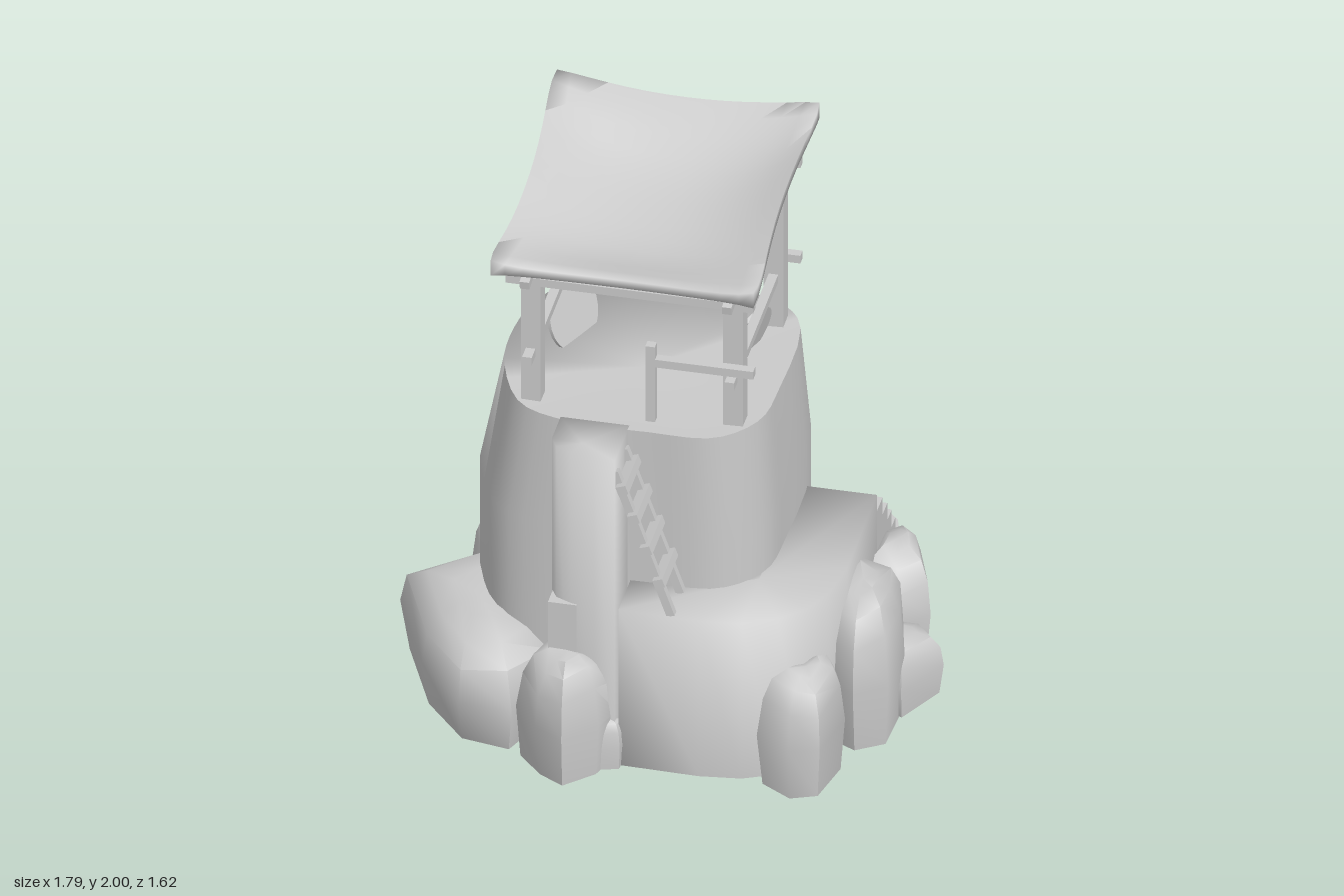
import * as THREE from 'three';
import { toCreasedNormals } from 'three/addons/utils/BufferGeometryUtils.js';

const grey = new THREE.MeshStandardMaterial({ color: 0xcccccc, side: THREE.DoubleSide });

function add(parent, name, geometry) {
  const mesh = new THREE.Mesh(geometry, grey);
  mesh.name = name;
  parent.add(mesh);
  return mesh;
}

// box given by its lower and upper limits
function block(parent, name, x0, x1, y0, y1, z0, z1) {
  const mesh = add(parent, name, new THREE.BoxGeometry(x1 - x0, y1 - y0, z1 - z0));
  mesh.position.set((x0 + x1) / 2, (y0 + y1) / 2, (z0 + z1) / 2);
  return mesh;
}

// orders an [x, z] outline the same way round
function orient(outline) {
  const v = outline.map(([x, z]) => new THREE.Vector2(x, z));
  return THREE.ShapeUtils.area(v) > 0 ? outline : [...outline].reverse();
}

function smoothLoop(outline, count) {
  const curve = new THREE.CatmullRomCurve3(outline.map(([x, z]) => new THREE.Vector3(x, 0, z)), true);
  return curve.getPoints(count).slice(0, count).map(p => [p.x, p.z]);
}

// shell through rings of [x, y, z] points, capped on top, open below unless closed
function loft(rings, topY, crease, closed = false) {
  const n = rings[0].length, pos = rings.flat(2), index = [];
  const cap = (ring, y, up) => {
    const c = pos.length / 3, start = rings.indexOf(ring) * n;
    pos.push(ring.reduce((s, p) => s + p[0], 0) / n, y, ring.reduce((s, p) => s + p[2], 0) / n);
    for (let j = 0; j < n; j++) {
      const a = start + j, b = start + (j + 1) % n;
      index.push(c, up ? b : a, up ? a : b);
    }
  };
  for (let i = 0; i < rings.length - 1; i++) {
    for (let j = 0; j < n; j++) {
      const a = i * n + j, b = i * n + (j + 1) % n;
      index.push(a, b + n, b, a, a + n, b + n);
    }
  }
  cap(rings[rings.length - 1], topY, true);
  if (closed) cap(rings[0], rings[0][0][1], false);
  const g = new THREE.BufferGeometry();
  g.setAttribute('position', new THREE.Float32BufferAttribute(pos, 3));
  g.setIndex(index);
  return toCreasedNormals(g, crease);
}

function prism(outline, y0, y1, crease, closed) {
  const o = orient(outline);
  return loft([y0, y1].map(y => o.map(([x, z]) => [x, y, z])), y1, crease, closed);
}

// boulder: angular plan swelling at mid height and tapering to a blunt top
function boulder(outline, y0, h, seed) {
  const o = orient(outline);
  const cx = o.reduce((s, p) => s + p[0], 0) / o.length;
  const cz = o.reduce((s, p) => s + p[1], 0) / o.length;
  const rings = [[0, 0.88], [0.45, 1], [0.75, 0.9], [0.92, 0.68], [0.99, 0.35]].map(([t, s], i) =>
    o.map(([x, z], j) => {
      const k = s * (i === 1 ? 1 : 1 + 0.04 * Math.sin(j * 2.1 + i * 1.3 + seed));
      return [cx + (x - cx) * k, y0 + h * (t + (i > 1 ? 0.03 * Math.sin(j * 1.9 + seed) : 0)), cz + (z - cz) * k];
    }));
  return loft(rings, y0 + h, 0.95);
}

function buildTower(model) {
  // main round tower, tapering above mid height except at the front, with a dished floor
  const plan = smoothLoop(orient([[-0.64, 0], [-0.6, -0.28], [-0.47, -0.48], [-0.08, -0.575], [0.25, -0.51],
    [0.365, -0.38], [0.39, 0.1], [0.365, 0.3], [0.24, 0.43], [0, 0.445], [-0.29, 0.44], [-0.5, 0.37], [-0.62, 0.15]]), 48);
  const ring = (y, t) => plan.map(([x, z]) => [
    x * (1 - t * (x < 0 ? 0.13 : 0.05)), y, z * (1 - t * (z < 0 ? 0.21 : 0))]);
  add(model, 'tower', loft([ring(0.02, 0), ring(0.8, 0), ring(1.22, 1)], 1.195, 1.45));

  // front buttress, its footing and the lower terrace
  add(model, 'buttress', prism([[-0.29, 0.42], [-0.29, 0.55], [-0.265, 0.595], [-0.21, 0.62], [-0.13, 0.635],
    [-0.06, 0.635], [-0.06, 0.42]], 0.02, 1.22, 1.7));
  block(model, 'footing', -0.285, -0.19, 0.02, 0.63, 0.55, 0.63);
  add(model, 'terrace', prism([[-0.05, 0.42], [-0.05, 0.625], [0.22, 0.632], [0.36, 0.615], [0.47, 0.565], [0.55, 0.485],
    [0.6, 0.38], [0.625, 0.22], [0.625, -0.22], [0.36, -0.22], [0.36, 0.24], [0.24, 0.4]], 0.02, 0.63, 1.7));
}

function buildStairs(model) {
  const stairs = new THREE.Group();
  stairs.name = 'stairs';
  model.add(stairs);
  const edges = [-0.22, -0.305, -0.375, -0.44, -0.495, -0.55];
  for (let i = 0; i < 5; i++) {
    block(stairs, 'step', 0.34, 0.625, 0.02, 0.565 - 0.068 * i, edges[i + 1], edges[i]);
  }
  add(stairs, 'landing', prism([[0.1, -0.54], [0.1, -0.815], [0.39, -0.815], [0.5, -0.78], [0.59, -0.69],
    [0.625, -0.55], [0.34, -0.44], [0.28, -0.48]], 0.02, 0.22, 0.65, true));
  block(stairs, 'lowerStep', 0.03, 0.1, 0.02, 0.153, -0.815, -0.56);
  block(stairs, 'lowerStep', -0.05, 0.03, 0.02, 0.087, -0.815, -0.565);
}

function buildBoulders(model) {
  const list = [
    [[[-0.9, 0.1], [-0.66, -0.09], [-0.5, 0], [-0.3, 0.44], [-0.4, 0.66], [-0.58, 0.65], [-0.75, 0.44]], 0.03, 0.38],
    [[[-0.39, 0.64], [-0.3, 0.75], [-0.2, 0.81], [-0.1, 0.7], [-0.06, 0.6], [-0.15, 0.45], [-0.33, 0.47]], 0.02, 0.43],
    [[[-0.73, -0.37], [-0.66, -0.44], [-0.53, -0.44], [-0.45, -0.3], [-0.52, -0.1], [-0.65, -0.1], [-0.73, -0.21]], 0.02, 0.35],
    [[[0.41, 0.61], [0.53, 0.68], [0.63, 0.65], [0.67, 0.45], [0.62, 0.34], [0.48, 0.4]], 0, 0.43],
    [[[0.55, 0.3], [0.68, 0.38], [0.78, 0.3], [0.79, 0.1], [0.74, -0.1], [0.58, -0.11], [0.5, 0.1]], 0, 0.54],
    [[[0.68, 0.1], [0.79, 0.15], [0.89, -0.04], [0.8, -0.14], [0.68, -0.12]], 0.01, 0.24],
    [[[0.58, -0.12], [0.72, -0.1], [0.81, -0.2], [0.75, -0.37], [0.66, -0.48], [0.58, -0.4]], 0.01, 0.42],
  ];
  list.forEach(([outline, y0, h], i) => add(model, 'boulder', boulder(outline, y0, h, i * 1.7)));
  // small stone at the foot of the buttress
  add(model, 'smallStone', boulder([[-0.13, 0.68], [-0.04, 0.65], [-0.03, 0.58], [-0.12, 0.58]], 0.02, 0.18, 3));
}

function buildLookout(model) {
  const frame = new THREE.Group();
  frame.name = 'lookoutFrame';
  model.add(frame);
  for (const x of [-0.408, 0.27]) {
    block(frame, 'frontPost', x - 0.033, x + 0.033, 1.19, 1.78, 0.275, 0.343);
    block(frame, 'backPost', x - 0.033, x + 0.033, 1.19, 1.86, -0.325, -0.257);
    block(frame, 'sideRail', x - 0.016, x + 0.016, 1.392, 1.422, -0.385, 0.398);
    // sloping beam under the roof edge
    const beam = block(frame, 'sideBeam', x - 0.016, x + 0.016, 1.78, 1.81, -0.43, 0.44);
    beam.rotation.x = 0.155;
  }
  block(frame, 'frontRail', -0.015, 0.345, 1.43, 1.46, 0.343, 0.375);
  block(frame, 'backRail', -0.485, 0.345, 1.43, 1.46, -0.357, -0.325);
  block(frame, 'frontBeam', -0.485, 0.345, 1.69, 1.72, 0.343, 0.375);
  block(frame, 'backBeam', -0.485, 0.345, 1.805, 1.835, -0.357, -0.325);
  block(frame, 'gatePost', -0.016, 0.016, 1.19, 1.51, 0.345, 0.377);

  // round shields leaning against the side rails, each turned a little
  for (const [x, z, side, turn] of [[0.225, 0.105, 1, 0.3], [0.225, -0.07, 1, -0.35], [-0.365, -0.09, -1, -0.4]]) {
    const shield = add(frame, 'shield', new THREE.CylinderGeometry(0.125, 0.125, 0.012, 24));
    shield.position.set(x, 1.285, z);
    shield.rotation.set(0, turn, Math.PI / 2 - side * 0.3, 'YXZ');
  }
}

function buildRoof(model) {
  // sagging sheet: height follows one curve along the sides and a lower one in the middle
  const heights = list => new THREE.SplineCurve(list.map(([z, y]) => new THREE.Vector2(z, y)));
  const edge = heights([[-1, 2], [-0.5, 1.945], [0, 1.885], [0.5, 1.835], [1, 1.83]]);
  const middle = heights([[-1, 1.97], [-0.5, 1.835], [0, 1.778], [0.5, 1.758], [1, 1.8]]);
  const g = new THREE.BoxGeometry(2, 1, 2, 14, 1, 14);
  const p = g.attributes.position;
  for (let i = 0; i < p.count; i++) {
    const u = p.getX(i), v = p.getZ(i), t = (v + 1) / 2, a = Math.abs(u);
    const top = THREE.MathUtils.lerp(middle.getPoint(t).y, edge.getPoint(t).y, Math.pow(a, 2.2));
    // corners are rounded in plan and hang lower underneath
    const corner = Math.pow(a * Math.abs(v), 6);
    const round = 1 - 0.06 * corner;
    p.setXYZ(i,
      -0.065 - 0.01 * v + u * (0.42 + 0.048 * v * v) * round,
      top - (p.getY(i) < 0 ? 0.03 + 0.03 * corner : 0),
      0.015 + v * (0.425 + 0.05 * u * u) * round);
  }
  g.deleteAttribute('normal');
  g.deleteAttribute('uv');
  add(model, 'roof', toCreasedNormals(g, 1.9));
}

function buildLadder(model) {
  const ladder = new THREE.Group();
  ladder.name = 'ladder';
  const length = 0.57;
  for (const z of [0.475, 0.612]) block(ladder, 'ladderRail', -0.014, 0.014, 0, length, z - 0.013, z + 0.013);
  for (const y of [0.14, 0.27, 0.395, 0.51]) block(ladder, 'rung', -0.005, 0.03, y - 0.016, y + 0.016, 0.455, 0.648);
  ladder.position.set(0.125, 0.63, 0);
  ladder.rotation.z = 0.34;
  model.add(ladder);
}

export function createModel() {
  const model = new THREE.Group();
  model.name = 'watchtower';
  buildTower(model);
  buildStairs(model);
  buildBoulders(model);
  buildLookout(model);
  buildRoof(model);
  buildLadder(model);
  return model;
}
